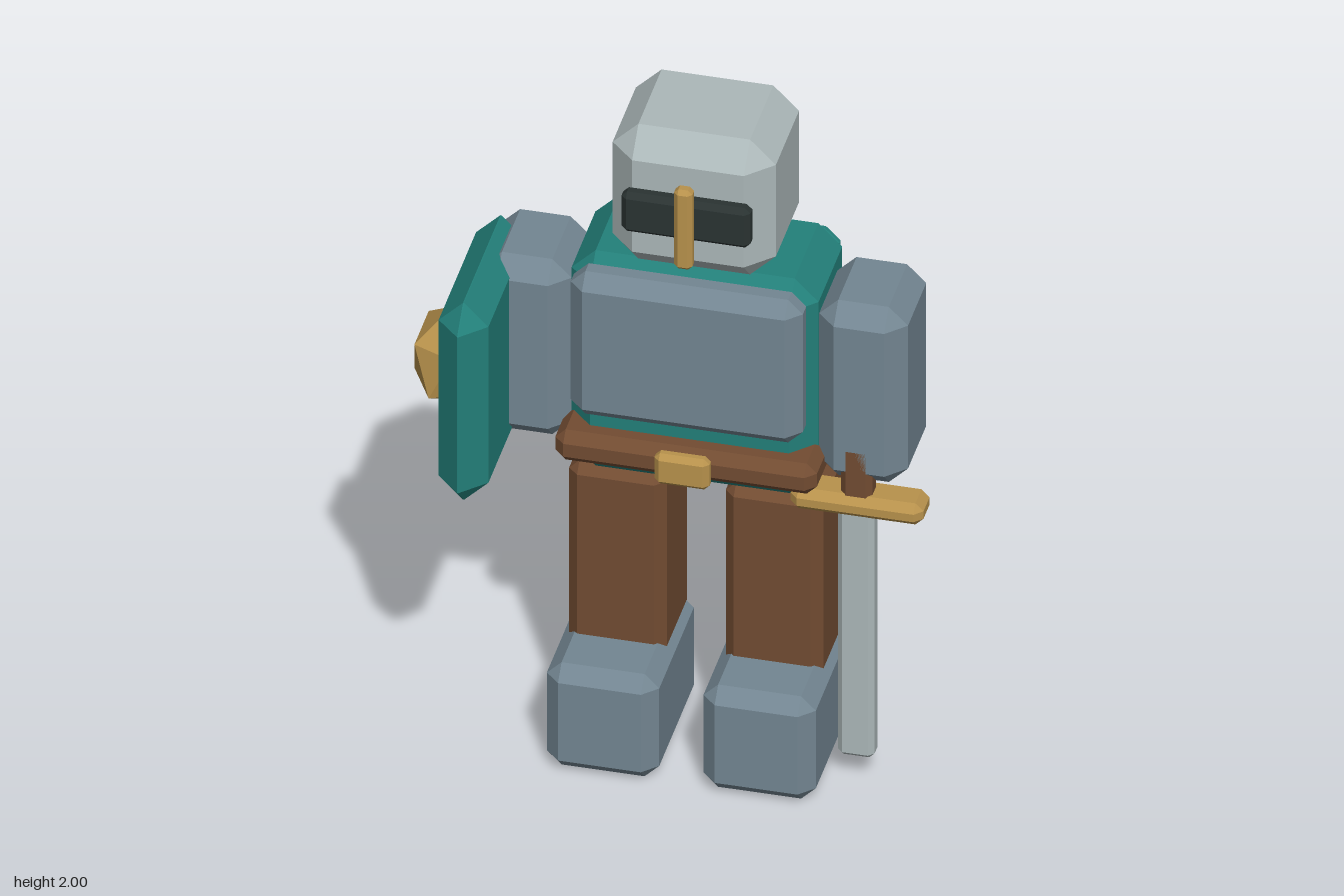
import * as THREE from 'three';
import { ConvexGeometry } from 'three/addons/geometries/ConvexGeometry.js';

const paint = (name, color) => {
  const m = new THREE.MeshStandardMaterial({ color });
  m.name = name;
  return m;
};

// Box with flat chamfers, given by its extents on each axis
function chamferBox([x0, x1], [y0, y1], [z0, z1], c) {
  const h = [(x1 - x0) / 2, (y1 - y0) / 2, (z1 - z0) / 2];
  const points = [];
  for (const sx of [-1, 1]) for (const sy of [-1, 1]) for (const sz of [-1, 1]) {
    for (let axis = 0; axis < 3; axis++) {
      const p = h.map((v, i) => (i === axis ? v : Math.max(v - c, 0.001)));
      points.push(new THREE.Vector3(p[0] * sx, p[1] * sy, p[2] * sz));
    }
  }
  return new ConvexGeometry(points);
}

// Upright twenty-sided stud with a pole at top and bottom
function studGeometry(rx, ry, rz) {
  const points = [new THREE.Vector3(0, ry, 0), new THREE.Vector3(0, -ry, 0)];
  for (let i = 0; i < 10; i++) {
    const a = (i * Math.PI) / 5;
    const y = i % 2 ? -0.447 : 0.447;
    points.push(new THREE.Vector3(0.894 * Math.cos(a) * rx, y * ry, 0.894 * Math.sin(a) * rz));
  }
  return new ConvexGeometry(points);
}

export function createModel() {
  const group = new THREE.Group();
  const steel = paint('pale steel', 0xacb8b9);
  const slate = paint('slate armour', 0x738692);
  const teal = paint('teal cloth', 0x23807a);
  const brown = paint('brown leather', 0x724c32);
  const gold = paint('brass', 0xb8924c);
  const dark = paint('dark visor', 0x2a3332);

  const block = (name, material, x, y, z, c) => {
    const mesh = new THREE.Mesh(chamferBox(x, y, z, c), material);
    mesh.name = name;
    mesh.position.set((x[0] + x[1]) / 2, (y[0] + y[1]) / 2, (z[0] + z[1]) / 2);
    group.add(mesh);
  };

  // Body centre line; the shield makes the whole figure lopsided
  const mid = 0.055;
  const wide = (w) => [mid - w / 2, mid + w / 2];

  // Helmet
  block('helmet', steel, wide(0.443), [1.565, 2.0], [-0.29, 0.105], 0.07);
  block('visor', dark, wide(0.35), [1.715, 1.842], [0.09, 0.14], 0.015);
  block('noseGuard', gold, wide(0.05), [1.64, 1.895], [0.125, 0.168], 0.012);

  // Torso, cape and belt
  block('torso', teal, wide(0.67), [0.87, 1.565], [-0.3, 0.09], 0.065);
  block('chestPlate', slate, wide(0.63), [1.1, 1.56], [0.04, 0.157], 0.04);
  block('cape', teal, wide(0.615), [0.83, 1.49], [-0.37, -0.28], 0.04);
  block('belt', brown, wide(0.71), [0.948, 1.045], [-0.303, 0.152], 0.028);
  block('buckle', gold, wide(0.15), [0.948, 1.045], [0.14, 0.185], 0.015);

  // Limbs, mirrored about the body centre line
  for (const [side, s] of [['right', -1], ['left', 1]]) {
    const span = (a, b) => [mid + s * a, mid + s * b].sort((p, q) => p - q);
    block(side + 'Arm', slate, span(0.336, 0.577), [0.95, 1.515], [-0.23, 0.075], 0.052);
    block(side + 'Leg', brown, span(0.08, 0.345), [0.28, 0.87], [-0.24, 0.04], 0.028);
    block(side + 'Boot', slate, span(0.06, 0.365), [0, 0.33], [-0.243, 0.217], 0.04);
  }

  // Shield with faceted stud
  block('shield', teal, [-0.573, -0.438], [0.9, 1.535], [-0.177, 0.367], 0.066);
  const stud = new THREE.Mesh(studGeometry(0.113, 0.148, 0.15), gold);
  stud.name = 'shieldStud';
  stud.position.set(-0.589, 1.218, 0.093);
  group.add(stud);

  // Sword, pointing down from the left hand
  block('swordGrip', brown, [0.46, 0.545], [0.9, 1.08], [0.005, 0.075], 0.015);
  block('swordGuard', gold, [0.325, 0.686], [0.86, 0.928], [-0.018, 0.093], 0.022);
  block('swordBlade', steel, [0.45, 0.55], [0.077, 0.89], [0.01, 0.072], 0.015);

  return group;
}
